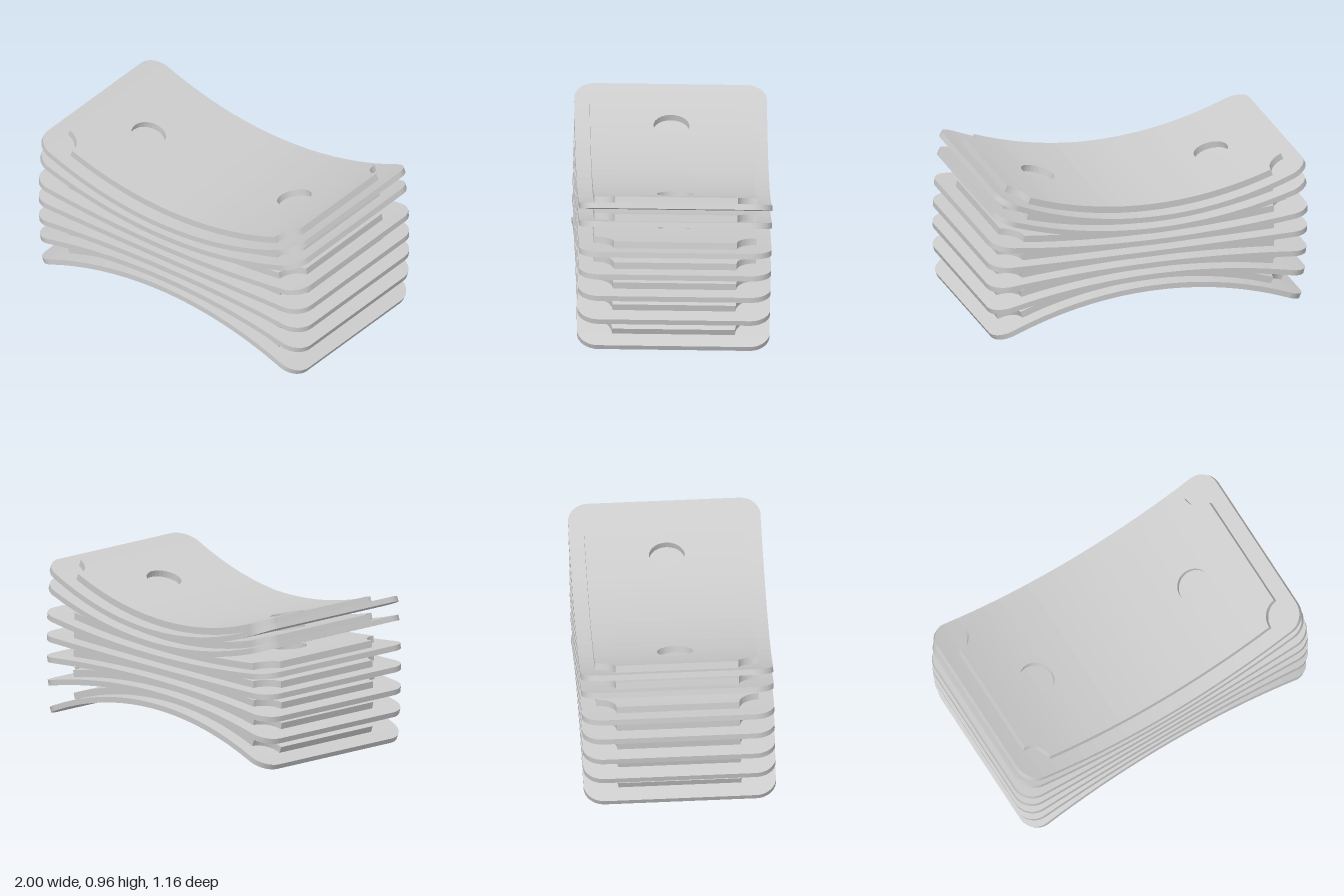
import * as THREE from 'three';

const material = new THREE.MeshStandardMaterial({ color: 0xcccccc, flatShading: true });

const BASE = { halfX: 0.995, halfZ: 0.563, corner: 0.12, thick: 0.033 };
const PAD = { halfX: 0.9, halfZ: 0.475, notch: 0.115, thick: 0.0406 };
const HOLES = [-0.575, 0.545];
const HOLE_R = 0.105;

// Each plate: curvature and sideways roll, from the bottom up
const PLATES = [
  [-0.44, 0.009], [-0.25, 0.014], [-0.11, 0.021], [0.018, 0.02],
  [0.14, 0.025], [0.36, 0.03], [0.445, 0.03],
];

// Bends a slab made of pieces into an arc of curvature k.
// A piece is { x0, x1, lo(x), hi(x), round, startWall, endWall }.
function bentSlab(pieces, h0, h1, k) {
  const positions = [];
  const bend = (x, h, z) => {
    const a = x * k;
    return [Math.sin(a) / k - h * Math.sin(a), (1 - Math.cos(a)) / k + h * Math.cos(a), z];
  };
  const quad = (a, b, c, d) => positions.push(...a, ...b, ...c, ...a, ...c, ...d);

  for (const p of pieces) {
    const n = p.round ? 14 : Math.max(1, Math.ceil((p.x1 - p.x0) / 0.1));
    const columns = [];
    for (let i = 0; i <= n; i++) {
      const t = p.round ? (1 - Math.cos(Math.PI * i / n)) / 2 : i / n;
      const x = p.x0 + (p.x1 - p.x0) * t;
      const lo = p.lo(x), hi = p.hi(x);
      columns.push({
        lb: bend(x, h0, lo), lt: bend(x, h1, lo),
        hb: bend(x, h0, hi), ht: bend(x, h1, hi),
      });
    }
    for (let i = 0; i < n; i++) {
      const a = columns[i], b = columns[i + 1];
      quad(a.lt, a.ht, b.ht, b.lt);
      quad(a.lb, b.lb, b.hb, a.hb);
      if (!p.openHi) quad(a.hb, b.hb, b.ht, a.ht);
      if (!p.openLo) quad(b.lb, a.lb, a.lt, b.lt);
    }
    const s = columns[0], e = columns[n];
    if (p.startWall) quad(s.hb, s.ht, s.lt, s.lb);
    if (p.endWall) quad(e.lb, e.lt, e.ht, e.hb);
  }
  const geometry = new THREE.BufferGeometry();
  geometry.setAttribute('position', new THREE.Float32BufferAttribute(positions, 3));
  geometry.computeVertexNormals();
  return geometry;
}

const root = (v) => Math.sqrt(Math.max(0, v));
const span = (x0, x1, width, extra = {}) =>
  ({ x0, x1, lo: (x) => -width(x), hi: width, ...extra });

// Rounded rectangle
function basePieces() {
  const { halfX, halfZ, corner } = BASE;
  const inner = halfX - corner;
  const width = (x) => halfZ - corner + root(corner ** 2 - Math.max(0, Math.abs(x) - inner) ** 2);
  return [
    span(-halfX, -inner, width, { round: true, startWall: true }),
    span(-inner, inner, width),
    span(inner, halfX, width, { round: true, endWall: true }),
  ];
}

// Rectangle with scooped corners and two round holes
function padPieces() {
  const { halfX, halfZ, notch } = PAD;
  const inner = halfX - notch;
  const full = () => halfZ;
  const scooped = (x) => halfZ - root(notch ** 2 - (halfX - Math.abs(x)) ** 2);
  const pieces = [
    span(-halfX, -inner, scooped, { round: true, startWall: true }),
    span(inner, halfX, scooped, { round: true, endWall: true }),
  ];
  let x = -inner;
  for (const c of HOLES) {
    const rim = (v) => root(HOLE_R ** 2 - (v - c) ** 2);
    const x0 = c - HOLE_R, x1 = c + HOLE_R;
    pieces.push(span(x, x0, full));
    pieces.push({ x0, x1, lo: rim, hi: full, round: true });
    pieces.push({ x0, x1, lo: () => -halfZ, hi: (v) => -rim(v), round: true });
    x = x1;
  }
  pieces.push(span(x, inner, full));
  return pieces;
}

function part(name, geometry) {
  const mesh = new THREE.Mesh(geometry, material);
  mesh.name = name;
  return mesh;
}

export function createModel() {
  const model = new THREE.Group();
  model.name = 'bentPlateStack';

  // The whole stack leans very slightly
  const stack = new THREE.Group();
  stack.name = 'stack';
  stack.rotation.set(-0.022, -0.011, 0);
  model.add(stack);

  const half = BASE.thick / 2;
  const pitch = BASE.thick + PAD.thick;
  PLATES.forEach(([curve, roll], i) => {
    const plate = new THREE.Group();
    plate.name = `plate${i + 1}`;
    plate.add(part('basePlate', bentSlab(basePieces(), -half, half, curve)));
    plate.add(part('raisedPad', bentSlab(padPieces(), half, half + PAD.thick, curve)));
    plate.position.set(-0.002 * (i - 3), (i - 3) * pitch, 0);
    plate.rotation.z = roll;
    stack.add(plate);
  });

  // Rest on the ground, centred
  model.updateMatrixWorld(true);
  const box = new THREE.Box3().setFromObject(model, true);
  const centre = box.getCenter(new THREE.Vector3());
  stack.position.set(-centre.x, -box.min.y, -centre.z);
  return model;
}
